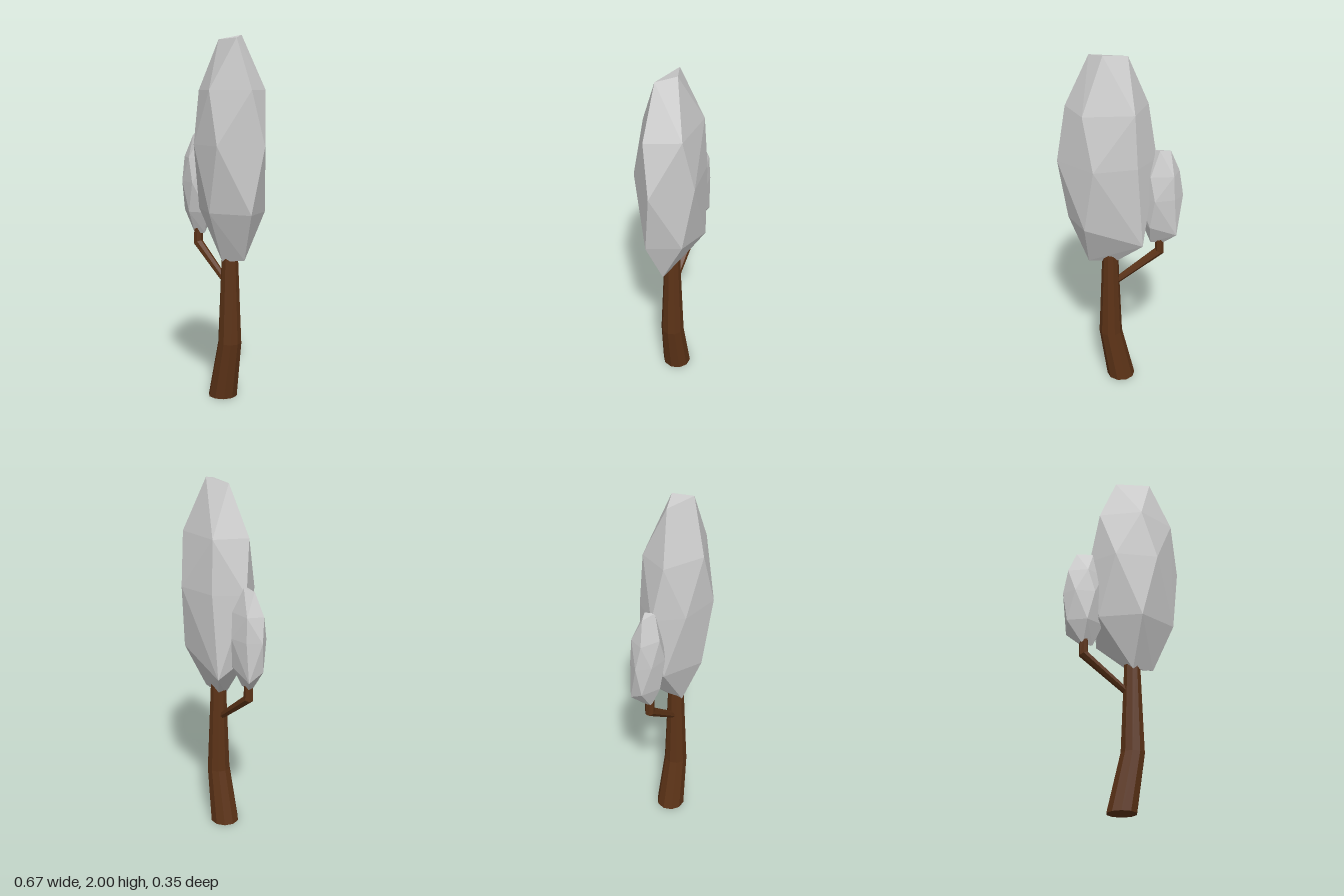
import * as THREE from 'three';
import { ConvexGeometry } from 'three/addons/geometries/ConvexGeometry.js';

const leaf = new THREE.MeshStandardMaterial({ color: 0xcccccc, flatShading: true });
const bark = new THREE.MeshStandardMaterial({ color: 0x5c3317, flatShading: true });

// Capped loft through rings [x, y, radius, tilt]; tilt leans the ring axis towards -x.
function limb(name, rings, sides) {
  const pos = [], index = [];
  const at = (r, a) => {
    const [x, y, radius, tilt] = rings[r];
    const u = Math.cos(a) * radius;
    pos.push(x + u * Math.cos(tilt), y + u * Math.sin(tilt), -Math.sin(a) * radius);
  };
  rings.forEach((_, r) => {
    for (let i = 0; i < sides; i++) at(r, (i / sides) * Math.PI * 2);
  });
  const last = (rings.length - 1) * sides;
  for (let i = 0; i < sides; i++) {
    const j = (i + 1) % sides;
    for (let r = 0; r < last; r += sides) {
      index.push(r + i, r + j, r + sides + j, r + i, r + sides + j, r + sides + i);
    }
    if (i > 0 && j > 0) index.push(0, j, i, last, last + i, last + j);
  }
  const indexed = new THREE.BufferGeometry();
  indexed.setAttribute('position', new THREE.Float32BufferAttribute(pos, 3));
  indexed.setIndex(index);
  const geometry = indexed.toNonIndexed();
  geometry.computeVertexNormals();
  const mesh = new THREE.Mesh(geometry, bark);
  mesh.name = name;
  return mesh;
}

// Faceted crown: small cap, pentagon, wide hexagon, pentagon, small base.
function crownGeometry() {
  const points = [
    [-0.035, 1.98, 0], [0.16, 1.98, 0.042], [0.095, 2, -0.05],
    [-0.19, 1.42, 0], [0.337, 1.42, 0],
    [0.05, 0.78, 0.045], [0.18, 0.8, 0], [0.03, 0.8, -0.02],
  ];
  for (const s of [-1, 1]) points.push([0.155, 1.42, 0.173 * s], [-0.078, 1.42, 0.14 * s]);
  for (let i = 0; i < 5; i++) {
    const a = (i / 5) * Math.PI * 2;
    const x = 0.07 + Math.sin(a) * 0.228, z = Math.cos(a) * 0.155;
    points.push([x, 1.71, z]);
    // One lower corner at the back is pulled down and out
    points.push(i === 3 ? [-0.11, 0.95, -0.125] : [x, 1.06, z]);
  }
  return new ConvexGeometry(points.map((p) => new THREE.Vector3(...p)));
}

export function createModel() {
  const tree = new THREE.Group();
  tree.name = 'tree';

  // Bent trunk and side branch
  tree.add(limb('trunk', [
    [0, 0, 0.081, 0], [0.06, 0.32, 0.066, 0], [0.06, 0.9, 0.042, 0],
  ], 10));
  tree.add(limb('branch', [
    [0.06, 0.635, 0.018, 0.95], [-0.215, 0.85, 0.028, 0.47], [-0.215, 0.95, 0.025, 0],
  ], 7));

  // Main crown and its smaller copy on the branch
  const geometry = crownGeometry();
  const crown = new THREE.Mesh(geometry, leaf);
  crown.name = 'mainCrown';
  const small = new THREE.Mesh(geometry, leaf);
  small.name = 'smallCrown';
  small.scale.setScalar(0.468);
  small.position.set(-0.248, 0.535, -0.006);
  tree.add(crown, small);
  return tree;
}
